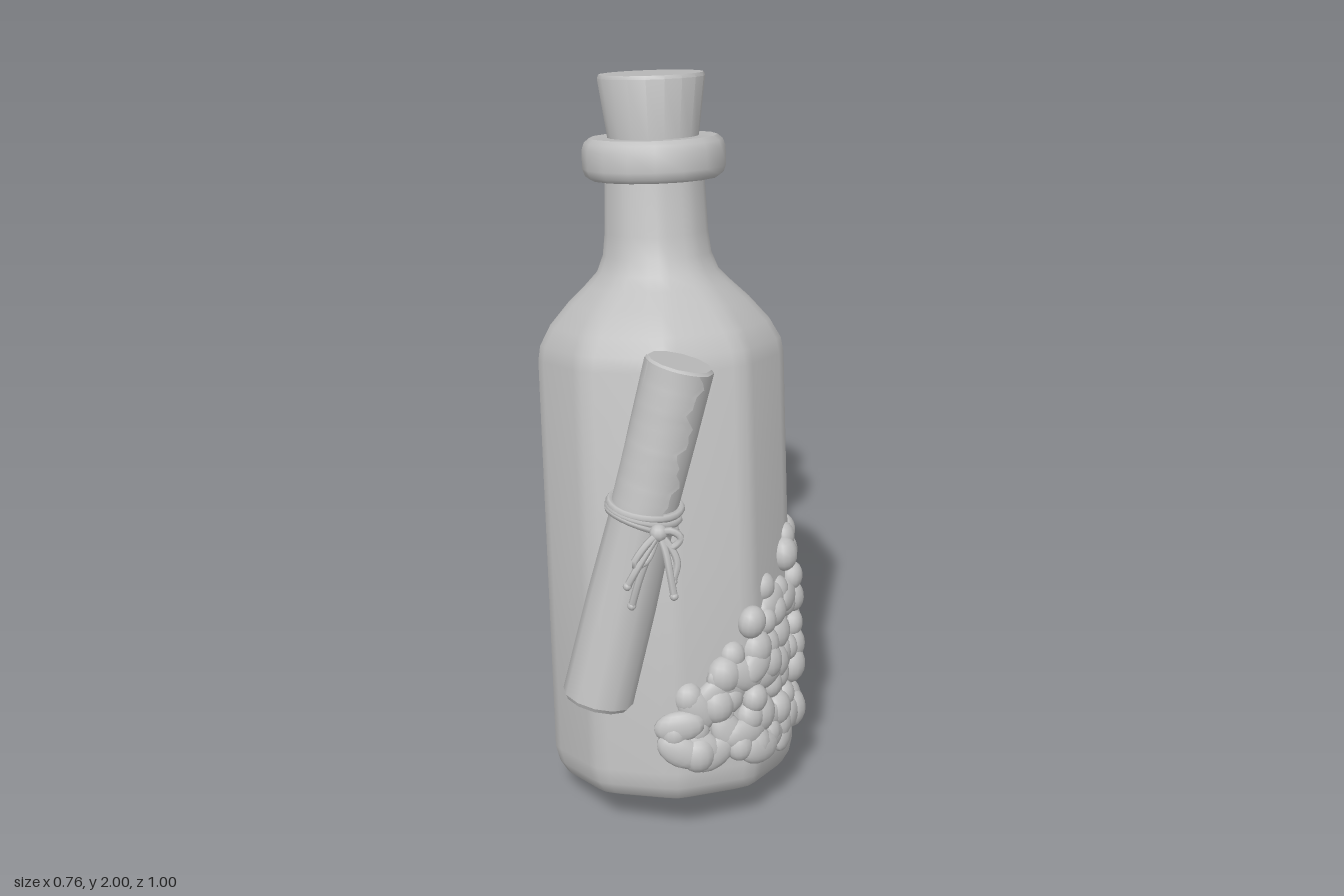
import * as THREE from 'three';
import { toCreasedNormals } from 'three/addons/utils/BufferGeometryUtils.js';

const stone = new THREE.MeshStandardMaterial({ color: 0xbfbfbf });
stone.name = 'plain grey';
stone.side = THREE.DoubleSide;
const DEG = Math.PI / 180;
const UP = new THREE.Vector3(0, 1, 0);

function add(parent, name, geometry) {
  const mesh = new THREE.Mesh(geometry, stone);
  mesh.name = name;
  parent.add(mesh);
  return mesh;
}

// Group whose local y axis runs from one point towards another
function axisGroup(name, from, to) {
  const g = new THREE.Group();
  g.name = name;
  g.position.copy(from);
  g.quaternion.setFromUnitVectors(UP, to.clone().sub(from).normalize());
  return g;
}

function rawLathe(profile, sides, start = 0) {
  return new THREE.LatheGeometry(profile.map(([r, y]) => new THREE.Vector2(r, y)), sides, start * DEG);
}

function lathe(profile, sides, start, crease) {
  return toCreasedNormals(rawLathe(profile, sides, start), crease * DEG);
}

function cord(points, radius) {
  const curve = new THREE.CatmullRomCurve3(points.map(p => new THREE.Vector3(...p)));
  return new THREE.TubeGeometry(curve, 14, radius, 6);
}

function seeded(seed) {
  return () => {
    seed = (seed * 16807) % 2147483647;
    return seed / 2147483647;
  };
}

// Nine-sided bottle with softened corners that grows rounder up the neck
const BODY_R = 0.344;
function bodyGeometry() {
  const profile = [
    [0, 0.003], [0.285, 0], [0.312, 0.012], [0.333, 0.045], [BODY_R, 0.09],
    [BODY_R, 0.65], [BODY_R, 1.195], [0.337, 1.235], [0.308, 1.285], [0.252, 1.345],
    [0.202, 1.39], [0.168, 1.425], [0.15, 1.47], [0.143, 1.53], [0.137, 1.69]
  ];
  const g = rawLathe(profile, 27);
  const p = g.attributes.position;
  for (let i = 0; i < p.count; i++) {
    const column = Math.floor(i / profile.length), side = column % 3 - 1;
    const [r, y] = profile[i % profile.length];
    const round = 0.6 * THREE.MathUtils.smoothstep(y, 1.2, 1.47);
    const angle = 7 + 40 * Math.floor(column / 3) + side * THREE.MathUtils.lerp(6, 13.333, round);
    const rr = r * THREE.MathUtils.lerp(side === 0 ? 0.988 : 0.968, 1, round);
    p.setXYZ(i, Math.sin(angle * DEG) * rr, y, Math.cos(angle * DEG) * rr);
  }
  return toCreasedNormals(g, 38 * DEG);
}

function buildBottle(bottle) {
  add(bottle, 'bottleBody', bodyGeometry());
  add(bottle, 'neckRing', lathe([
    [0.12, 1.675], [0.174, 1.675], [0.188, 1.685], [0.195, 1.705], [0.195, 1.755],
    [0.188, 1.775], [0.174, 1.787], [0.135, 1.787], [0, 1.78]
  ], 16, 7, 40));
  add(bottle, 'cork', lathe([
    [0, 1.77], [0.122, 1.77], [0.146, 1.945], [0.142, 1.955], [0, 1.955]
  ], 18, 0, 35));
}

// Radius of the nine-sided body at an angle measured from +x towards +z
function bodyRadius(deg) {
  const m = (((deg - 3) % 40) + 40) % 40 - 20;
  return BODY_R * Math.cos(20 * DEG) / Math.cos(m * DEG);
}

// Upper and lower edge of the grape cluster around the bottle
function clusterTop(a) {
  return a > 0 ? 0.725 - 0.0053 * a : 0.725 - 0.17 * Math.pow(-a / 62, 1.5);
}
function clusterBottom(a) {
  return a > 45 ? 0.09 + 0.0018 * (a - 45) : 0.09 + 0.001 * (45 - a);
}

function buildGrapes(bottle) {
  const cluster = new THREE.Group();
  cluster.name = 'grapeCluster';
  bottle.add(cluster);
  const rand = seeded(4711);
  const ball = new THREE.SphereGeometry(1, 14, 10);
  const place = (name, a, s, depth, size) => {
    const r = bodyRadius(a) + depth;
    const m = add(cluster, name, ball);
    m.position.set(Math.cos(a * DEG) * r, s, Math.sin(a * DEG) * r);
    m.rotation.set(0, -a * DEG, (rand() - 0.5) * 0.4);
    m.scale.set(...size);
    return m;
  };
  let row = 0;
  for (let s = 0.09; s < 0.76; s += 0.066, row++) {
    for (let a = -62 + (row % 2) * 6; a <= 90; a += 12) {
      const ja = a + (rand() - 0.5) * 7, js = s + (rand() - 0.5) * 0.035;
      const size = 0.034 + rand() * 0.02;
      const depth = -0.014 + rand() * 0.018;
      if (js > clusterTop(ja) || js < clusterBottom(ja)) continue;
      place('grape', ja, js, depth, [size * 0.85, size * 1.1, size]);
    }
  }
  // Broad low leaves that fill the gaps between the grapes
  for (let i = 0; i < 36; i++) {
    const a = -58 + (i % 18) * 8.2;
    const t = i < 18 ? 0.02 + rand() * 0.25 : 0.35 + rand() * 0.5;
    const s = THREE.MathUtils.lerp(clusterBottom(a), clusterTop(a), t);
    const leaf = place('leaf', a, s, 0, [0.026, 0.045, 0.07]);
    leaf.rotateX((rand() - 0.5) * 2);
  }
}

// Rolled paper with a loose, ragged outer edge
function buildScroll(root) {
  const bottom = new THREE.Vector3(-0.187, 0.465, 0.413);
  const top = new THREE.Vector3(0.02, 1.39, 0.245);
  const scroll = axisGroup('scroll', bottom, top);
  root.add(scroll);
  const L = bottom.distanceTo(top);
  add(scroll, 'paperRoll', lathe([
    [0, 0.008], [0.07, 0.005], [0.088, 0], [0.096, 0.012], [0.094, L * 0.3],
    [0.086, L * 0.57], [0.09, L * 0.8], [0.092, L - 0.008], [0.084, L], [0, L]
  ], 12, 0, 32));

  // Outer sheet, with its free edge wandering along the length
  const flap = new THREE.CylinderGeometry(0.096, 0.096, L * 0.41, 16, 22, true, -100 * DEG, 140 * DEG);
  const p = flap.attributes.position;
  for (let i = 0; i < p.count; i++) {
    const y = p.getY(i), a = Math.atan2(p.getX(i), p.getZ(i)) / DEG;
    const k = (a + 100) / 140;
    const angle = a + k * (7 * Math.sin(y * 48) + 5 * Math.sin(y * 117 + 1));
    const r = 0.088 + 0.011 * k;
    p.setXYZ(i, Math.sin(angle * DEG) * r, y, Math.cos(angle * DEG) * r);
  }
  flap.computeVertexNormals();
  add(scroll, 'looseSheet', flap).position.y = L * 0.79;

  // String wound three times round the roll
  for (let i = -1; i <= 1; i++) {
    const ring = add(scroll, 'stringLoop', new THREE.TorusGeometry(0.094, 0.011, 6, 24));
    ring.rotation.set(Math.PI / 2 + i * 0.1, i * 0.1, 0);
    ring.position.y = L * 0.57 + i * 0.02;
  }
}

// Knot, two bows and hanging ends
function buildKnot(root) {
  const bow = new THREE.Group();
  bow.name = 'bow';
  root.add(bow);
  const k = [-0.02, 0.985, 0.42];
  add(bow, 'knot', new THREE.SphereGeometry(0.024, 10, 8)).position.set(...k);
  const strands = [
    [k, [-0.045, 0.93, 0.445], [-0.068, 0.86, 0.45], [-0.088, 0.78, 0.447]],
    [k, [-0.045, 0.95, 0.455], [-0.075, 0.9, 0.48], [-0.095, 0.86, 0.485]],
    [k, [0.0, 0.94, 0.44], [0.012, 0.89, 0.455], [0.024, 0.825, 0.465]],
    [k, [0.012, 0.95, 0.43], [0.03, 0.91, 0.44], [0.02, 0.86, 0.45]],
    [k, [-0.055, 0.96, 0.46], [-0.08, 0.915, 0.475], [-0.05, 0.92, 0.46], k],
    [k, [0.015, 0.995, 0.425], [0.038, 0.975, 0.425], [0.015, 0.95, 0.43], k]
  ];
  for (const pts of strands) {
    add(bow, 'stringEnd', cord(pts, 0.01));
    const tip = add(bow, 'stringTip', new THREE.SphereGeometry(0.012, 8, 6));
    tip.position.set(...pts[pts.length - 1]);
  }
}

export function createModel() {
  const root = new THREE.Group();
  root.name = 'corkedBottle';
  const bottle = axisGroup('bottle',
    new THREE.Vector3(-0.005, 0.07, 0.118), new THREE.Vector3(-0.11, 1.965, -0.355));
  root.add(bottle);
  buildBottle(bottle);
  buildGrapes(bottle);
  buildScroll(root);
  buildKnot(root);
  return root;
}
